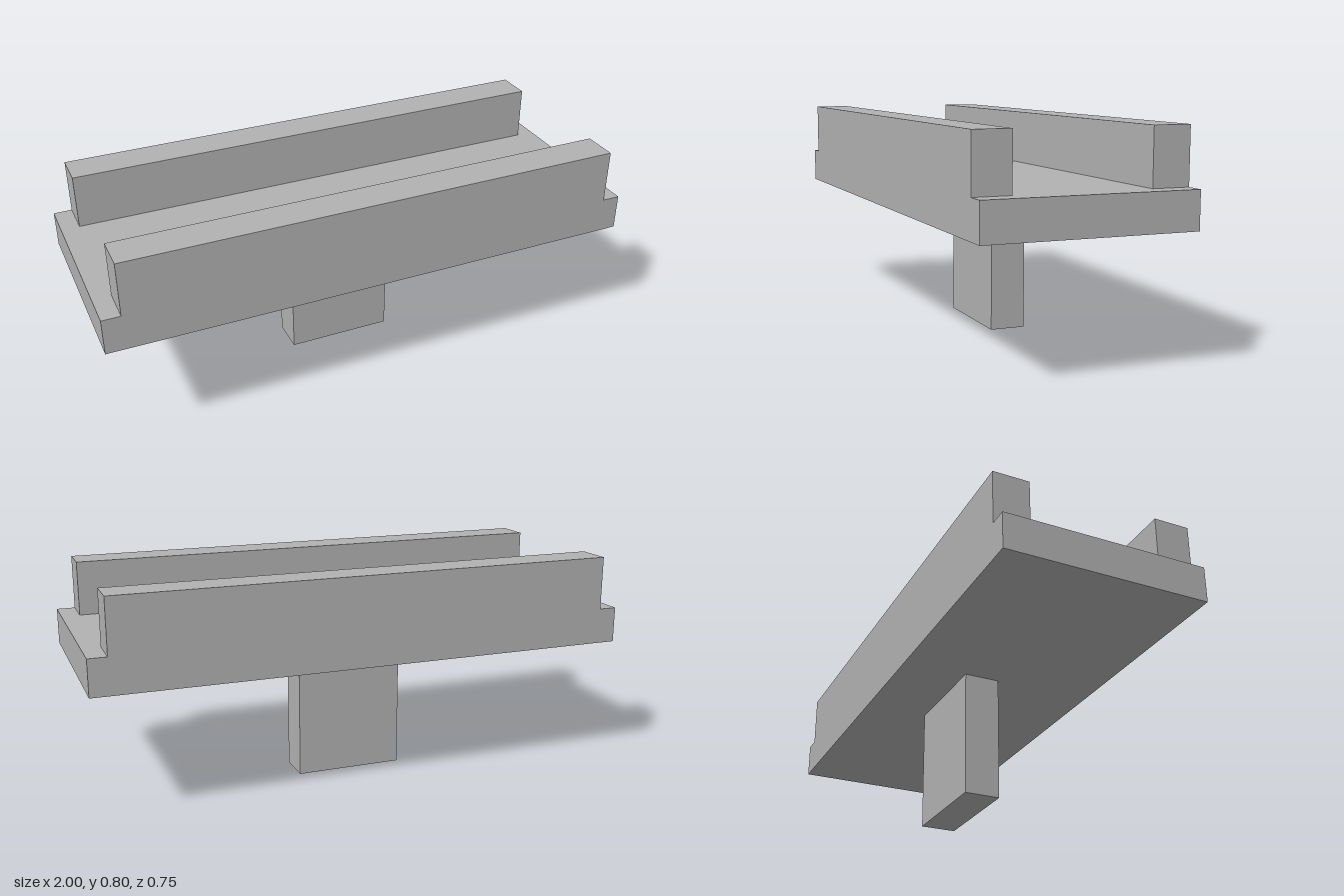
import * as THREE from 'three';

export function createModel() {
  const model = new THREE.Group();
  const grey = new THREE.MeshStandardMaterial({ color: 0xb2b2b2 });
  grey.name = 'grey';

  // Box given by its lower and upper corners
  function addBox(name, [x0, y0, z0], [x1, y1, z1]) {
    const mesh = new THREE.Mesh(new THREE.BoxGeometry(x1 - x0, y1 - y0, z1 - z0), grey);
    mesh.position.set((x0 + x1) / 2, (y0 + y1) / 2, (z0 + z1) / 2);
    mesh.name = name;
    model.add(mesh);
  }

  // Flat deck
  addBox('deck', [-1, 0.467, -0.373], [1, 0.6, 0.373]);

  // Long rails, flush with the front and back edges of the deck
  addBox('frontRail', [-0.933, 0.6, 0.24], [0.933, 0.8, 0.373]);
  addBox('backRail', [-0.933, 0.6, -0.373], [0.933, 0.8, -0.24]);

  // Support post, set just behind the centre line
  addBox('post', [-0.2, 0, -0.133], [0.2, 0.467, 0]);

  return model;
}
